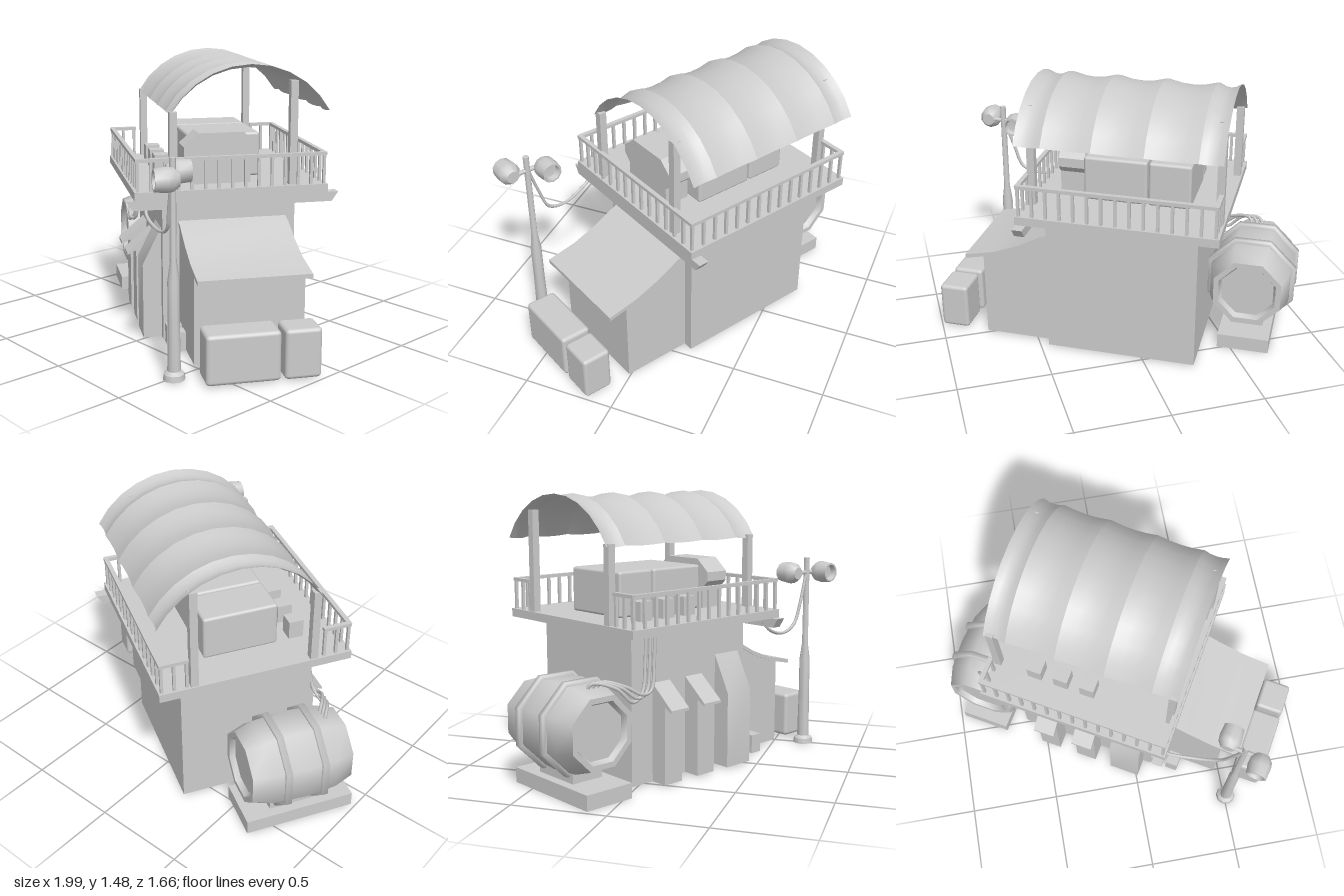
import * as THREE from 'three';
import { RoundedBoxGeometry } from 'three/addons/geometries/RoundedBoxGeometry.js';
import { toCreasedNormals } from 'three/addons/utils/BufferGeometryUtils.js';

const mat = new THREE.MeshStandardMaterial({ color: 0xcccccc, side: THREE.DoubleSide });

function add(parent, name, geo, x = 0, y = 0, z = 0) {
  const m = new THREE.Mesh(geo, mat);
  m.name = name;
  m.position.set(x, y, z);
  parent.add(m);
  return m;
}

// Box given by its limits, optionally with rounded edges
function box(parent, name, [x0, x1], [y0, y1], [z0, z1], r = 0) {
  const s = [x1 - x0, y1 - y0, z1 - z0];
  const geo = r ? new RoundedBoxGeometry(...s, 2, r) : new THREE.BoxGeometry(...s);
  return add(parent, name, geo, (x0 + x1) / 2, (y0 + y1) / 2, (z0 + z1) / 2);
}

const shapeOf = pts => new THREE.Shape(pts.map(p => new THREE.Vector2(...p)));

// Side profile (z, y) swept along x
function prismX(parent, name, pts, x0, x1) {
  const geo = new THREE.ExtrudeGeometry(shapeOf(pts), { depth: x1 - x0, bevelEnabled: false });
  geo.rotateY(-Math.PI / 2);
  return add(parent, name, toCreasedNormals(geo, 0.7), x1);
}

// Front profile (x, y) swept along z
function prismZ(parent, name, pts, z0, z1) {
  const geo = new THREE.ExtrudeGeometry(shapeOf(pts), { depth: z1 - z0, bevelEnabled: false });
  return add(parent, name, toCreasedNormals(geo, 0.7), 0, 0, z0);
}

// Hollow rectangular walls, open above and below
function walls(parent, name, [x0, x1], [z0, z1], h) {
  const rect = t => [[x0 + t, -z1 + t], [x1 - t, -z1 + t], [x1 - t, -z0 - t], [x0 + t, -z0 - t]];
  const shape = shapeOf(rect(0));
  shape.holes.push(shapeOf(rect(0.01)));
  const geo = new THREE.ExtrudeGeometry(shape, { depth: h, bevelEnabled: false });
  geo.rotateX(-Math.PI / 2);
  return add(parent, name, geo, 0, 0.01, 0);
}

function tube(parent, name, pts, r) {
  const curve = new THREE.CatmullRomCurve3(pts.map(p => new THREE.Vector3(...p)));
  return add(parent, name, new THREE.TubeGeometry(curve, 32, r, 6), 0, 0, 0);
}

const lathe = (pts, n) => new THREE.LatheGeometry(pts.map(p => new THREE.Vector2(...p)), n);

// Arched roof sheet: sagging panels between raised seams
function roofGeometry() {
  const seams = [-0.66, -0.54, -0.275, -0.01, 0.245, 0.385], N = 10, M = 4;
  const half = 0.41, rise = 0.23, R = (half * half + rise * rise) / (2 * rise);
  const maxA = Math.asin(half / R), pos = [], idx = [];
  for (let p = 0; p < seams.length - 1; p++) {
    const start = pos.length / 3;
    for (let i = 0; i <= M; i++) {
      const t = i / M, x = seams[p] + (seams[p + 1] - seams[p]) * t;
      const bump = 0.022 * (2 * t - 1) ** 2;
      for (let j = 0; j <= N; j++) {
        const a = -maxA + 2 * maxA * j / N, r = R + bump * Math.cos(a);
        pos.push(x, 1.24 + rise - R + r * Math.cos(a) - 0.008, -0.157 + r * Math.sin(a));
      }
    }
    for (let i = 0; i < M; i++) for (let j = 0; j < N; j++) {
      const a = start + i * (N + 1) + j, b = a + N + 1;
      idx.push(a, a + 1, b, b, a + 1, b + 1);
    }
  }
  const geo = new THREE.BufferGeometry();
  geo.setAttribute('position', new THREE.Float32BufferAttribute(pos, 3));
  geo.setIndex(idx);
  geo.computeVertexNormals();
  return geo;
}

// Run of railing between two points on the deck
function railing(parent, [x0, z0], [x1, z1]) {
  const g = new THREE.Group();
  g.name = 'railing';
  const len = Math.hypot(x1 - x0, z1 - z0), n = Math.max(2, Math.round(len / 0.07));
  const top = add(g, 'handrail', new THREE.BoxGeometry(len + 0.02, 0.018, 0.024), (x0 + x1) / 2, 1.011, (z0 + z1) / 2);
  top.rotation.y = -Math.atan2(z1 - z0, x1 - x0);
  for (let i = 0; i <= n; i++) {
    const t = i / n;
    add(g, 'baluster', new THREE.BoxGeometry(0.015, 0.16, 0.015), x0 + (x1 - x0) * t, 0.925, z0 + (z1 - z0) * t);
  }
  parent.add(g);
}

export function createModel() {
  const model = new THREE.Group();
  model.name = 'towerHouse';
  const g = new THREE.Group();
  g.name = 'building';
  g.rotation.y = -Math.PI / 6;
  model.add(g);

  // Main block with sloped buttresses on the front
  walls(g, 'mainWalls', [-0.53, 0.28], [-0.43, 0.29], 0.79);
  for (const x of [-0.39, -0.16])
    prismX(g, 'buttress', [[0.28, 0.01], [0.385, 0.01], [0.385, 0.42], [0.435, 0.395], [0.435, 0.41], [0.28, 0.54]], x, x + 0.12);
  prismX(g, 'wideButtress', [[0.28, 0.01], [0.39, 0.01], [0.39, 0.42], [0.28, 0.64]], 0.06, 0.235);

  // Side room with a sagging lean-to roof
  walls(g, 'roomWalls', [0.27, 0.66], [-0.375, 0.2], 0.46);
  const slope = [[0.2, 0.69], [0.33, 0.645], [0.46, 0.575], [0.6, 0.52], [0.765, 0.485]];
  prismZ(g, 'roomGable', [[0.27, 0.47], [0.66, 0.47], [0.66, 0.5], [0.6, 0.515], [0.46, 0.57], [0.33, 0.64], [0.27, 0.66]], -0.375, 0.2);
  prismZ(g, 'leanToRoof', [...slope, ...slope.map(([x, y]) => [x, y - 0.022]).reverse()], -0.38, 0.205);

  // Deck, support beam and railings with an opening on one side
  box(g, 'deck', [-0.655, 0.395], [0.805, 0.85], [-0.575, 0.45]);
  prismX(g, 'deckBeam', [[-0.6, 0.755], [0.46, 0.755], [0.49, 0.805], [-0.635, 0.805]], 0.335, 0.39);
  const [L, Rt, B, F] = [-0.635, 0.378, -0.557, 0.432];
  railing(g, [L, F], [Rt, F]);
  railing(g, [Rt, F], [Rt, B]);
  railing(g, [Rt, B], [L, B]);
  railing(g, [L, B], [L, B + 0.13]);
  railing(g, [L, F], [L, F - 0.13]);

  // Canopy and its posts
  add(g, 'archedRoof', roofGeometry());
  for (const x of [-0.628, 0.355]) {
    box(g, 'roofPost', [x - 0.02, x + 0.02], [0.85, 1.25], [0.225, 0.265]);
    box(g, 'roofPost', [x - 0.02, x + 0.02], [0.85, 1.395], [-0.41, -0.37]);
  }

  // Crates and a round-topped chest on the deck
  box(g, 'deckCrate', [-0.46, -0.235], [0.85, 1.09], [-0.28, 0.12], 0.015);
  box(g, 'deckCrate', [-0.228, 0.11], [0.85, 1.09], [-0.28, 0.12], 0.015);
  prismX(g, 'chest', [[-0.19, 0.85], [0.13, 0.85], [0.13, 0.96], [0.17, 1.0], [0.17, 1.05], [0.09, 1.12],
    [-0.15, 1.12], [-0.23, 1.05], [-0.23, 1.0], [-0.19, 0.96]], 0.12, 0.262);
  for (const x of [-0.41, -0.26, -0.11]) box(g, 'smallDeckBox', [x - 0.04, x + 0.04], [0.85, 0.95], [0.19, 0.27]);

  // Boxes on the ground
  box(g, 'groundCrate', [0.765, 0.935], [0.01, 0.265], [-0.175, 0.197], 0.02);
  box(g, 'groundCrate', [0.775, 0.935], [0.01, 0.265], [-0.38, -0.195], 0.02);
  for (const x of [0.3, 0.41]) box(g, 'smallGroundBox', [x - 0.035, x + 0.035], [0, 0.105], [0.2, 0.28]);

  // Eight-sided barrel tank on a slab
  box(g, 'tankSlab', [-0.9, -0.62], [0, 0.08], [-0.205, 0.395]);
  box(g, 'tankCradle', [-0.85, -0.67], [0.08, 0.15], [-0.06, 0.22]);
  const tank = new THREE.Group();
  tank.name = 'tank';
  tank.position.set(-0.765, 0.35, 0.077);
  g.add(tank);
  const turn = geo => geo.rotateY(Math.PI / 8).rotateX(Math.PI / 2);
  add(tank, 'barrel', turn(toCreasedNormals(lathe([[0, -0.245], [0.15, -0.245], [0.165, -0.275], [0.195, -0.275],
    [0.23, -0.17], [0.242, 0], [0.23, 0.17], [0.195, 0.275], [0.165, 0.275], [0.15, 0.245], [0, 0.245]], 8), 0.85)));
  for (const z of [-0.1, 0.1])
    add(tank, 'hoop', turn(lathe([[0.23, -0.016], [0.258, -0.016], [0.258, 0.016], [0.23, 0.016]], 8)), 0, 0, z);

  // Pipes from tank to deck
  for (let i = 0; i < 3; i++) {
    const d = i * 0.03;
    tube(g, 'pipe', [[-0.79 + d, 0.53, 0.25], [-0.77 + d, 0.58, 0.27], [-0.66 + d, 0.55, 0.33], [-0.57 + d, 0.47 + d / 2, 0.35],
      [-0.49 + d, 0.51, 0.33], [-0.46 + d, 0.65, 0.315], [-0.45 + d, 0.81, 0.31]], 0.009);
  }

  // Lamp post with two lamps facing opposite ways
  const lamp = new THREE.Group();
  lamp.name = 'lampPost';
  lamp.position.set(0.51, 0, 0.668);
  lamp.rotation.y = -Math.PI / 6;
  model.add(lamp);
  add(lamp, 'pole', toCreasedNormals(lathe([[0, 0], [0.056, 0], [0.052, 0.03], [0.034, 0.045], [0.03, 0.3], [0.03, 0.5],
    [0.017, 0.6], [0.016, 1.1], [0, 1.1]], 10), 0.7));
  const arm = add(lamp, 'lampArm', new THREE.CylinderGeometry(0.012, 0.012, 0.18, 8), 0, 1.015, 0);
  arm.rotation.z = Math.PI / 2;
  for (const s of [-1, 1]) {
    const head = add(lamp, 'lampHead', toCreasedNormals(lathe([[0, -0.06], [0.035, -0.06], [0.058, -0.03], [0.062, 0],
      [0.055, 0.06], [0.045, 0.06], [0.038, 0.03], [0, 0.025]], 10), 0.8), s * 0.09, 1.015, s * 0.045);
    head.rotation.x = s * Math.PI / 2;
  }
  tube(model, 'lampCable', [[0.1, 0.78, 0.5], [0.14, 0.73, 0.53], [0.3, 0.69, 0.58], [0.41, 0.73, 0.62],
    [0.455, 0.85, 0.645], [0.5, 1.0, 0.665]], 0.009);

  return model;
}
